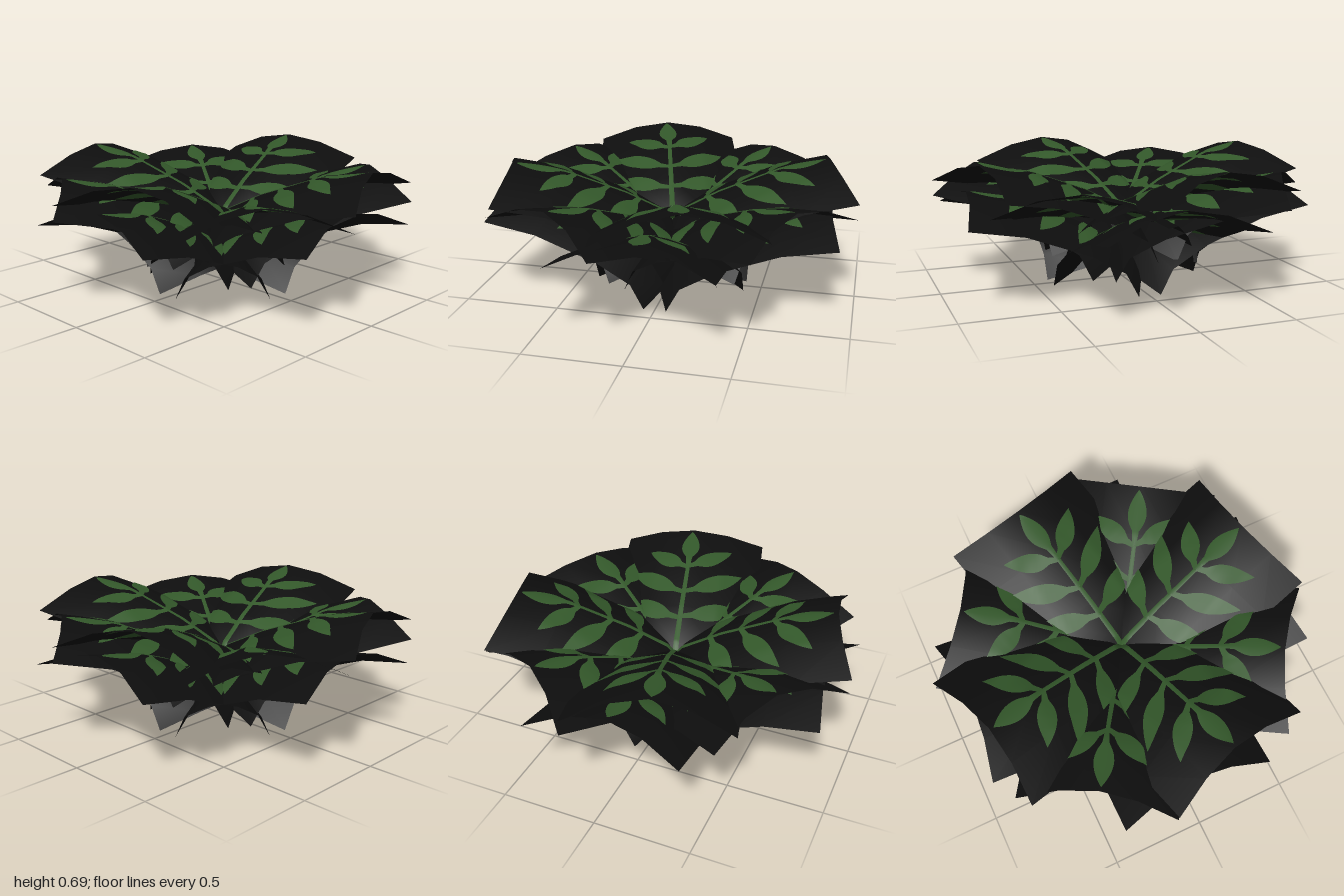
import * as THREE from 'three';

// Side profiles of one drooping leaf panel as [outward, up]: centre fold and outer edge
const MID = [[-0.08, 0.11], [0.04, 0.25], [0.25, 0.355], [0.58, 0.48], [0.85, 0.53]];
const EDGE = [[0.06, 0], [0.13, 0.13], [0.31, 0.235], [0.64, 0.36], [0.92, 0.41]];
const HALF = 0.41, FOLD = 0.2, FOLD_DROP = 0.28;

const lerp = THREE.MathUtils.lerp;

// Point on the panel: w across, v outward along the centre fold; panel heads to -z
function surface(w, v) {
  let i = 0;
  while (i < MID.length - 2 && v > MID[i + 1][0]) i++;
  const t = (v - MID[i][0]) / (MID[i + 1][0] - MID[i][0]);
  const a = Math.abs(w);
  const f = a < FOLD ? FOLD_DROP * a / FOLD : lerp(FOLD_DROP, 1, (a - FOLD) / (HALF - FOLD));
  const at = k => lerp(lerp(MID[i][k], MID[i + 1][k], t), lerp(EDGE[i][k], EDGE[i + 1][k], t), f);
  return new THREE.Vector3(w, at(1), -at(0));
}

// Point lifted off the panel along its normal
function lifted(w, v, lift) {
  const e = 0.004, p = surface(w, v);
  const dw = surface(w + e, v).sub(surface(w - e, v));
  const dv = surface(w, v + e).sub(surface(w, v - e));
  return p.addScaledVector(dw.cross(dv).normalize(), lift);
}

// Surface from rows of points
function gridGeometry(rows) {
  const n = rows[0].length, index = [];
  for (let r = 0; r < rows.length - 1; r++) {
    for (let c = 0; c < n - 1; c++) {
      const a = r * n + c, b = a + n;
      index.push(a, a + 1, b, a + 1, b + 1, b);
    }
  }
  const g = new THREE.BufferGeometry().setFromPoints(rows.flat());
  g.setIndex(index);
  g.computeVertexNormals();
  return g;
}

// Ribbon on the panel following a curve in (w, v), with a width rule
function ribbon(curve, width, steps, lift) {
  const rows = [];
  for (let i = 0; i <= steps; i++) {
    const t = i / steps, p = curve.getPoint(t), d = curve.getTangent(t), h = width(t) / 2;
    rows.push([-1, 0, 1].map(s => lifted(p.x + d.y * h * s, p.y - d.x * h * s, lift)));
  }
  return gridGeometry(rows);
}

// Leaflets: base v, tip w, tip v, width
const LEAFLETS = [
  [0.18, -0.34, 0.31, 0.085], [0.19, 0.33, 0.30, 0.085],
  [0.345, -0.32, 0.51, 0.085], [0.35, 0.31, 0.53, 0.085],
  [0.52, -0.24, 0.66, 0.085], [0.525, 0.235, 0.70, 0.085],
];

// Narrow stalk, broad blade, pointed tip
const blade = width => t => t < 0.2
  ? lerp(0.024, 0.035, t / 0.2)
  : 0.035 * (1 - t) + width * Math.pow(Math.sin(Math.PI * Math.pow((t - 0.2) / 0.8, 0.85)), 0.9);

function frondParts(lift) {
  const V = (x, y) => new THREE.Vector2(x, y);
  const parts = [
    ['stem', ribbon(new THREE.LineCurve(V(0, -0.05), V(0, 0.56)), t => lerp(0.03, 0.02, t), 40, lift)],
    ['tipLeaflet', ribbon(new THREE.LineCurve(V(0, 0.54), V(-0.01, 0.83)), blade(0.085), 16, lift)],
  ];
  for (const [base, w, v, width] of LEAFLETS) {
    const curve = new THREE.QuadraticBezierCurve(V(0, base), V(w * 0.5, lerp(base, v, 0.36)), V(w, v));
    parts.push(['leaflet', ribbon(curve, blade(width), 16, lift)]);
  }
  return parts;
}

export function createModel() {
  const black = new THREE.MeshStandardMaterial({ color: 0x0e0e0e, side: THREE.DoubleSide });
  black.name = 'leafBlack';
  const green = new THREE.MeshStandardMaterial({ color: 0x33582a, side: THREE.DoubleSide });
  green.name = 'frondGreen';

  const panelGeometry = gridGeometry(MID.map(m => [-HALF, -FOLD, 0, FOLD, HALF].map(w => surface(w, m[0]))));
  // Thin frond faces above and below each panel
  const fronds = [...frondParts(0.004), ...frondParts(-0.004)];

  const model = new THREE.Group();
  model.name = 'plant';
  // Three stacked rings of four panels: height and turn in degrees
  const rings = [['lowerRing', 0, 0], ['middleRing', 0.08, -33], ['upperRing', 0.16, 15]];
  for (const [name, y, turn] of rings) {
    const ring = new THREE.Group();
    ring.name = name;
    ring.position.y = y;
    for (let k = 0; k < 4; k++) {
      const leaf = new THREE.Group();
      leaf.name = 'leaf';
      leaf.rotation.y = THREE.MathUtils.degToRad(turn + 90 * k);
      const panel = new THREE.Mesh(panelGeometry, black);
      panel.name = 'leafPanel';
      leaf.add(panel);
      for (const [part, geometry] of fronds) {
        const mesh = new THREE.Mesh(geometry, green);
        mesh.name = part;
        leaf.add(mesh);
      }
      ring.add(leaf);
    }
    model.add(ring);
  }
  return model;
}
